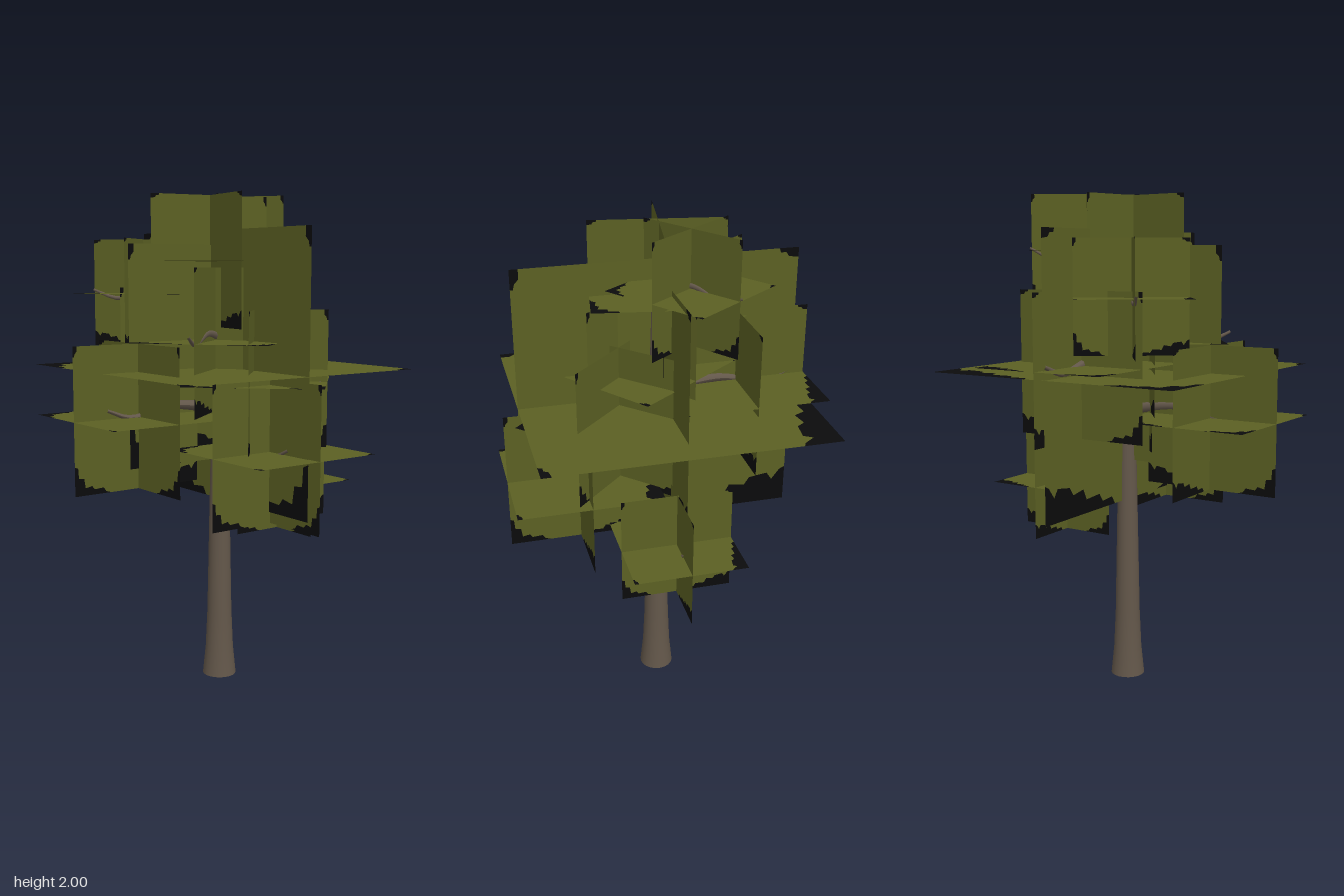
import * as THREE from 'three';

const mat = (name, color, side = THREE.FrontSide) => {
  const m = new THREE.MeshStandardMaterial({ color, side });
  m.name = name;
  return m;
};

const TRUNK_X = 0.06;
const HALF_PI = Math.PI / 2;

// Ragged borders of the dark corners, in card units (0..1)
const LOW_LEFT = [[0, 0.2], [0.025, 0.19], [0.03, 0.12], [0.07, 0.115], [0.08, 0.05], [0.13, 0.06],
  [0.15, 0.035], [0.22, 0.04], [0.24, 0.012], [0.28, 0]];
const LOW_RIGHT = [[0.58, 0], [0.6, 0.03], [0.66, 0.025], [0.68, 0.055], [0.76, 0.05], [0.78, 0.09],
  [0.84, 0.08], [0.86, 0.11], [0.93, 0.12], [0.95, 0.09], [0.98, 0.13], [1, 0.14]];
const TOP_RIGHT = [[1, 0.965], [0.965, 0.97], [0.955, 0.985], [0.935, 0.985], [0.93, 1]];
const TOP_LEFT = [[0.03, 1], [0.03, 0.965], [0.015, 0.95], [0.01, 0.93], [0, 0.93]];

const toShape = pts => new THREE.Shape(pts.map(([u, v]) => new THREE.Vector2(u - 0.5, v - 0.5)));

export function createModel() {
  const tree = new THREE.Group();
  tree.name = 'tree';
  const bark = mat('bark', 0x63574a);
  const leaf = mat('leaf green', 0x5b6023, THREE.DoubleSide);
  const dark = mat('leaf edge black', 0x0b0b0c, THREE.DoubleSide);

  const add = (parent, name, geometry, material) => {
    const mesh = new THREE.Mesh(geometry, material);
    mesh.name = name;
    parent.add(mesh);
    return mesh;
  };

  // Trunk with a flared foot and flat end caps
  const profile = [[0.07, 0], [0.058, 0.12], [0.051, 0.28], [0.043, 0.7], [0.031, 1.3], [0.018, 1.81]];
  const trunk = new THREE.Group();
  trunk.name = 'trunk';
  trunk.position.x = TRUNK_X;
  tree.add(trunk);
  add(trunk, 'trunkBody', new THREE.LatheGeometry(profile.map(p => new THREE.Vector2(...p)), 20), bark);
  add(trunk, 'trunkFoot', new THREE.CircleGeometry(0.07, 20).rotateX(HALF_PI), bark);
  add(trunk, 'trunkTop', new THREE.CircleGeometry(0.018, 20).rotateX(-HALF_PI).translate(0, 1.81, 0), bark);

  // Branches: wavy tubes thinning toward the tip
  const branch = (x, y, z, radius) => {
    const at = (t, dy) => new THREE.Vector3(TRUNK_X + (x - TRUNK_X) * t, y + dy, z * t);
    const curve = new THREE.CatmullRomCurve3([at(0, -0.03), at(0.45, 0), at(0.8, -0.035), at(1, 0)]);
    const segments = 16, sides = 8;
    const geo = new THREE.TubeGeometry(curve, segments, radius, sides);
    const pos = geo.attributes.position;
    const p = new THREE.Vector3();
    for (let i = 0; i < pos.count; i++) {
      const t = Math.floor(i / (sides + 1)) / segments;
      const c = curve.getPointAt(t);
      p.fromBufferAttribute(pos, i).sub(c).multiplyScalar(1 - 0.75 * t).add(c);
      pos.setXYZ(i, p.x, p.y, p.z);
    }
    geo.computeVertexNormals();
    add(tree, 'branch', geo, bark);
  };
  branch(0.48, 0.82, 0, 0.02);
  branch(0.06, 1.02, 0.43, 0.022);
  branch(-0.48, 1.17, 0, 0.025);
  branch(0.3, 1.26, 0.35, 0.022);
  branch(0.06, 1.36, -0.55, 0.03);
  branch(-0.28, 1.455, 0.25, 0.022);
  branch(-0.27, 1.62, -0.44, 0.02);
  branch(0.37, 1.79, -0.23, 0.017);

  // One unit leaf card: green face plus its dark ragged corners
  const green = new THREE.ShapeGeometry(toShape([...LOW_LEFT, ...LOW_RIGHT, ...TOP_RIGHT, ...TOP_LEFT]));
  const corners = new THREE.ShapeGeometry([
    toShape([[0, 0], ...LOW_LEFT]),
    toShape([[1, 0], ...LOW_RIGHT]),
    toShape([[1, 1], ...TOP_RIGHT]),
    toShape([[0, 1], ...TOP_LEFT]),
  ]);
  const card = (parent, name, size, rx, ry, y = 0) => {
    const g = new THREE.Group();
    g.name = name;
    g.rotation.set(rx, ry, 0);
    g.scale.setScalar(size);
    g.position.y = y;
    add(g, 'leafFace', green, leaf);
    add(g, 'leafCorners', corners, dark);
    parent.add(g);
  };

  // Leaf cluster: three crossed cards
  const cluster = (x, y, z, size, turn = 0, crossSize = size, crossY = 0) => {
    const g = new THREE.Group();
    g.name = 'leafCluster';
    g.position.set(x, y, z);
    g.rotation.y = turn;
    card(g, 'flatCard', size, HALF_PI, 0);
    card(g, 'sideCard', size, 0, HALF_PI);
    card(g, 'frontCard', crossSize, 0, 0, crossY);
    tree.add(g);
  };
  cluster(0.06, 1.31, -0.005, 1.1, 0, 0.87, 0.055); // large middle crown
  cluster(0.375, 0.81, 0, 0.44);
  cluster(0.066, 1.0, 0.32, 0.57);
  cluster(-0.335, 1.135, -0.01, 0.57);
  cluster(0.118, 1.262, 0.163, 0.57, 2.356);
  cluster(0.068, 1.345, -0.318, 0.57);
  cluster(-0.008, 1.425, 0.06, 0.57, 2.21);
  cluster(-0.135, 1.607, -0.265, 0.437, 2.21);
  cluster(0.02, 1.735, -0.013, 0.52, 2.978);
  cluster(0.19, 1.78, -0.092, 0.44, 2.2);

  return tree;
}
